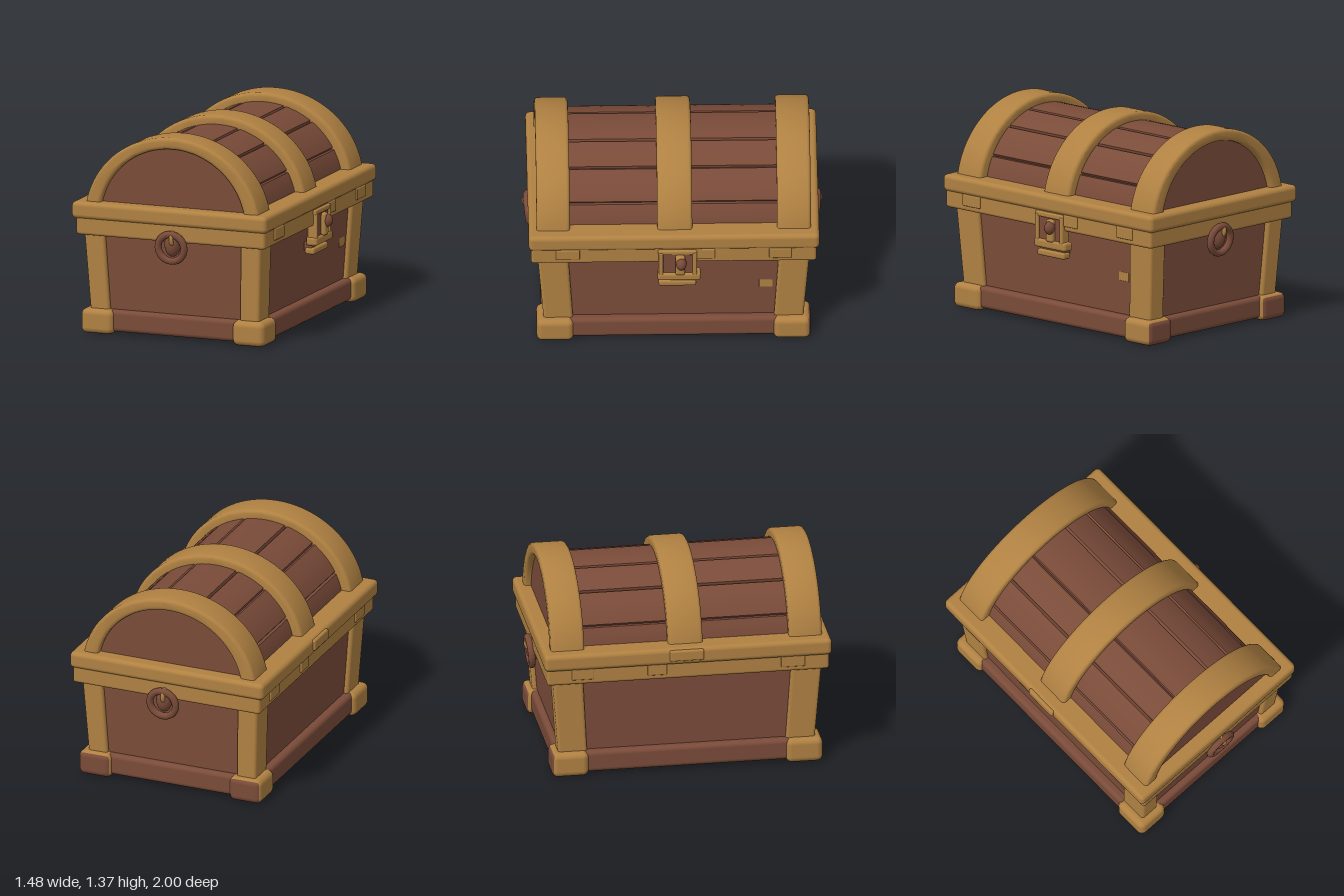
import * as THREE from 'three';
import { toCreasedNormals } from 'three/addons/utils/BufferGeometryUtils.js';
import { RoundedBoxGeometry } from 'three/addons/geometries/RoundedBoxGeometry.js';

const CX = -0.02; // middle of the chest body across its width

export function createModel() {
  const model = new THREE.Group();
  model.name = 'treasureChest';
  const wood = new THREE.MeshStandardMaterial({ color: 0x7a4b39 });
  wood.name = 'brown wood';
  const gold = new THREE.MeshStandardMaterial({ color: 0xb08142 });
  gold.name = 'dull gold';

  function add(name, geometry, material, parent = model) {
    const mesh = new THREE.Mesh(geometry, material);
    mesh.name = name;
    parent.add(mesh);
    return mesh;
  }
  // rounded box given by its low and high corners
  function box(name, lo, hi, r, material, parent) {
    const s = hi.map((v, i) => v - lo[i]);
    const g = new RoundedBoxGeometry(s[0], s[1], s[2], 3, r);
    g.translate(...hi.map((v, i) => (v + lo[i]) / 2));
    return add(name, g, material, parent);
  }
  // narrow a body part towards the floor
  function taper(mesh) {
    const p = mesh.geometry.attributes.position;
    for (let i = 0; i < p.count; i++) {
      const k = 1 - 0.085 * (0.68 - p.getY(i));
      p.setX(i, CX + (p.getX(i) - CX) * k);
      p.setZ(i, p.getZ(i) * k);
    }
    return mesh;
  }

  // body and base board
  taper(box('body', [CX - 0.605, 0.05, -0.875], [CX + 0.605, 0.75, 0.875], 0.01, wood));
  box('baseBoard', [CX - 0.635, 0.022, -0.88], [CX + 0.635, 0.17, 0.88], 0.03, wood);

  // corner posts and feet; feet are wooden underneath and at the back
  for (const sx of [-1, 1]) {
    for (const sz of [-1, 1]) {
      const span = (a, b, c) => [c + Math.min(a, b), c + Math.max(a, b)];
      const [x0, x1] = span(sx * 0.49, sx * 0.635, CX);
      const [z0, z1] = span(sz * 0.7, sz * 0.905, 0);
      taper(box('cornerPost', [x0, 0.12, z0], [x1, 0.72, z1], 0.022, gold));
      const [fx0, fx1] = span(sx * 0.43, sx * 0.66, CX);
      const [fz0, fz1] = span(sz * 0.665, sz * 0.912, 0);
      box('cornerFoot', [fx0, 0.004, fz0], [fx1, 0.172, fz1], 0.04,
        [gold, gold, gold, wood, gold, sz < 0 ? wood : gold]);
    }
  }

  // two-step rim between body and lid
  box('lowerRim', [CX - 0.675, 0.68, -0.95], [CX + 0.685, 0.82, 0.95], 0.02, gold);
  box('upperRim', [CX - 0.705, 0.79, -0.97], [CX + 0.7, 0.905, 0.965], 0.03, gold);

  // raised clasps on the lower rim
  for (const [z, w] of [[0.705, 0.16], [-0.21, 0.13], [-0.71, 0.15]]) {
    for (const x of [CX + 0.685, CX - 0.675]) {
      box('rimPlate', [x - 0.01, 0.715, z - w / 2], [x + 0.01, 0.795, z + w / 2], 0.008, gold);
    }
  }
  box('hingePlate', [-0.74, 0.82, -0.13], [-0.7, 0.895, 0.1], 0.012, gold);

  // lid barrel with grooves between the planks
  const seams = [-0.53, -0.37, -0.17, 0.13, 0.32, 0.48];
  const barrel = new THREE.Shape();
  const outline = [];
  const at = (t, f) => [CX + 0.565 * f * Math.cos(t), 0.8 + 0.52 * f * Math.sin(t)];
  for (let i = 0; i <= 36; i++) outline.push([(Math.PI * i) / 36, 1]);
  for (const x of seams) {
    const t = Math.acos((x - CX) / 0.565);
    for (let i = outline.length - 1; i >= 0; i--) {
      if (Math.abs(outline[i][0] - t) < 0.022) outline.splice(i, 1);
    }
    outline.push([t - 0.018, 1], [t, 0.965], [t + 0.018, 1]);
  }
  outline.sort((a, b) => a[0] - b[0]);
  outline.forEach(([t, f], i) => (i ? barrel.lineTo(...at(t, f)) : barrel.moveTo(...at(t, f))));
  const lid = new THREE.ExtrudeGeometry(barrel, { depth: 1.74, bevelEnabled: false });
  lid.translate(0, 0, -0.87);
  add('lidPlanks', toCreasedNormals(lid, 0.35), wood);

  // three arched straps over the lid
  const arch = new THREE.Shape();
  arch.absellipse(CX, 0.8, 0.63, 0.578, 0, Math.PI, false, 0);
  arch.lineTo(CX - 0.525, 0.8);
  arch.absellipse(CX, 0.8, 0.525, 0.5, Math.PI, 0, true, 0);
  arch.closePath();
  for (const [z0, z1] of [[0.69, 0.912], [-0.125, 0.108], [-0.915, -0.69]]) {
    const b = 0.022;
    const g = new THREE.ExtrudeGeometry(arch, {
      depth: z1 - z0 - 2 * b, curveSegments: 32, bevelEnabled: true,
      bevelThickness: b, bevelSize: b, bevelOffset: -b, bevelSegments: 3,
    });
    g.translate(0, 0, z0 + b);
    add('lidStrap', toCreasedNormals(g, 0.7), gold);
  }

  // ring handles on the front and back
  for (const turn of [0, Math.PI]) {
    const handle = new THREE.Group();
    handle.name = 'ringHandle';
    const ring = add('ring', new THREE.TorusGeometry(0.093, 0.024, 10, 32), wood, handle);
    ring.position.set(-0.005, 0.645, 0.958);
    ring.rotation.x = 0.1;
    const mount = add('ringMount', new THREE.SphereGeometry(1, 20, 14), wood, handle);
    mount.scale.set(0.055, 0.085, 0.055);
    mount.position.set(-0.005, 0.665, 0.93);
    const loop = add('ringLoop', new THREE.TorusGeometry(0.042, 0.016, 8, 20), gold, handle);
    loop.rotation.y = Math.PI / 2;
    loop.position.set(0.005, 0.705, 0.942);
    handle.rotation.y = turn;
    model.add(handle);
  }

  // latch on the left side
  const latch = new THREE.Group();
  latch.name = 'latch';
  model.add(latch);
  box('latchPlate', [0.6, 0.56, -0.135], [0.675, 0.765, 0.08], 0.012, wood, latch);
  box('latchTop', [0.64, 0.755, -0.155], [0.686, 0.79, 0.105], 0.01, gold, latch);
  box('latchSide', [0.62, 0.55, 0.07], [0.69, 0.775, 0.1], 0.01, gold, latch);
  box('latchSide', [0.62, 0.55, -0.155], [0.69, 0.775, -0.125], 0.01, gold, latch);
  box('latchBar', [0.61, 0.545, -0.18], [0.692, 0.605, 0.108], 0.018, gold, latch);
  box('latchFoot', [0.6, 0.485, -0.15], [0.67, 0.53, 0.1], 0.015, gold, latch);
  box('latchFootBack', [0.59, 0.5, -0.14], [0.65, 0.57, 0.09], 0.01, wood, latch);
  box('latchPin', [0.65, 0.595, -0.075], [0.705, 0.75, -0.01], 0.018, gold, latch);
  const knob = add('latchKnob', new THREE.SphereGeometry(1, 16, 12), wood, latch);
  knob.scale.set(0.04, 0.045, 0.035);
  knob.position.set(0.7, 0.695, -0.05);

  // small metal patch on the left side panel
  const patch = box('sidePatch', [0.566, 0.4, -0.66], [0.575, 0.46, -0.57], 0.003, gold);
  patch.position.x = 0.0;
  return model;
}
